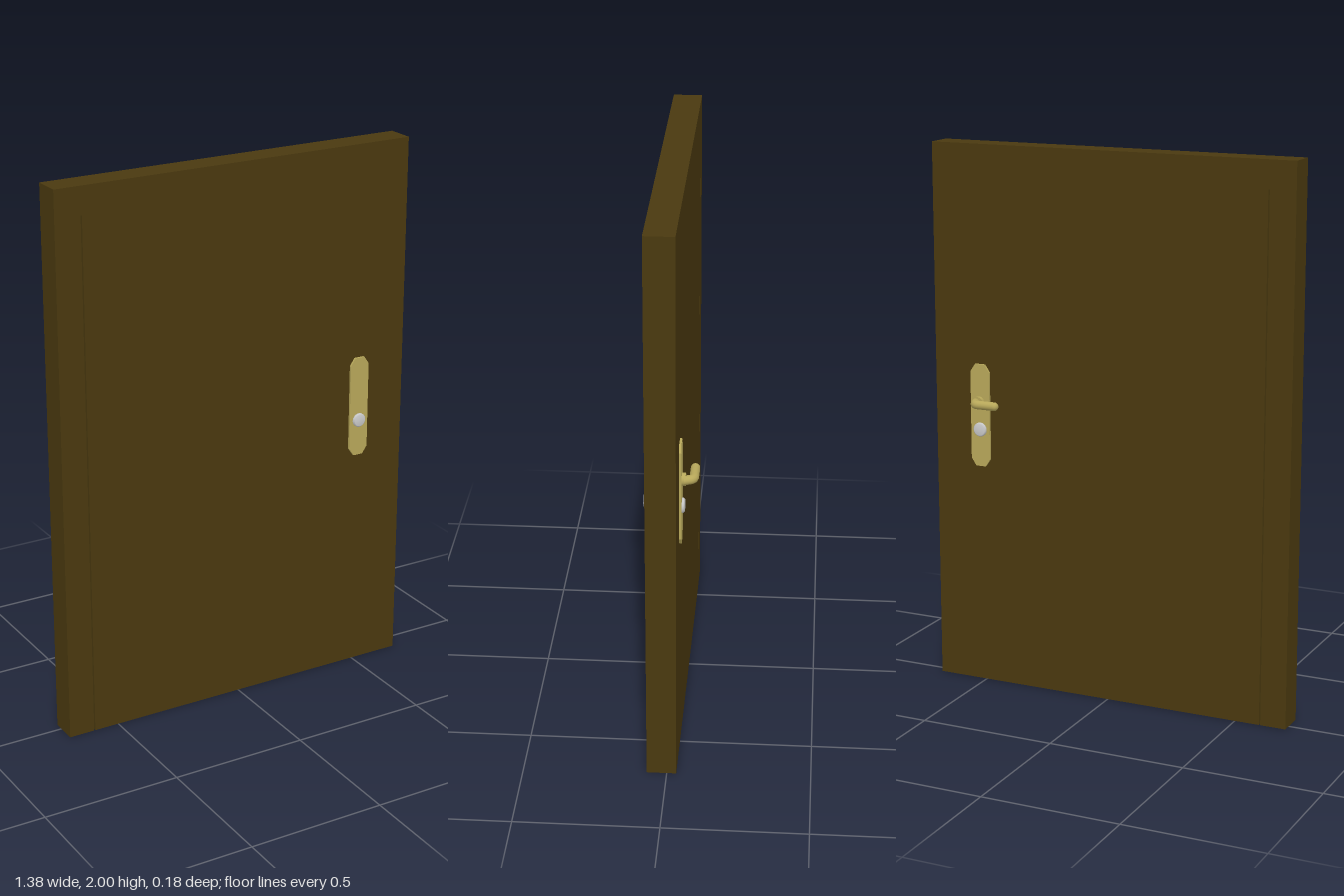
import * as THREE from 'three';

const wood = new THREE.MeshStandardMaterial({ color: 0x4a390f });
const brass = new THREE.MeshStandardMaterial({ color: 0xb8a85a });
const steel = new THREE.MeshStandardMaterial({ color: 0xcccccc });

const BACK = -0.033, FRONT = 0.07;

function add(parent, name, geometry, material, x = 0, y = 0, z = 0) {
  const mesh = new THREE.Mesh(geometry, material);
  mesh.name = name;
  mesh.position.set(x, y, z);
  parent.add(mesh);
  return mesh;
}

// Wooden board given by its extents in x and y
function board(parent, name, x0, x1, y0, y1) {
  add(parent, name, new THREE.BoxGeometry(x1 - x0, y1 - y0, FRONT - BACK), wood,
    (x0 + x1) / 2, (y0 + y1) / 2, (FRONT + BACK) / 2);
}

// Chamfered plate with a round lock, facing +z from its own origin
function lockPlate(name, height, lockY) {
  const group = new THREE.Group();
  group.name = name;
  const w = 0.038, h = height / 2, cx = 0.019, cy = 0.028;
  const outline = [[w, -h + cy], [w, h - cy], [w - cx, h], [cx - w, h],
    [-w, h - cy], [-w, -h + cy], [cx - w, -h], [w - cx, -h]];
  const shape = new THREE.Shape(outline.map(([x, y]) => new THREE.Vector2(x, y)));
  add(group, 'plate', new THREE.ExtrudeGeometry(shape, { depth: 0.008, bevelEnabled: false }), brass);
  const profile = [[0, 0], [0.026, 0], [0.026, 0.013], [0.021, 0.018], [0, 0.018]];
  const lock = new THREE.LatheGeometry(profile.map(([x, y]) => new THREE.Vector2(x, y)), 16);
  add(group, 'lockCylinder', lock, steel, 0, lockY, 0).rotation.x = Math.PI / 2;
  return group;
}

export function createModel() {
  const model = new THREE.Group();
  model.name = 'door';

  // Leaf, with a narrow gap beside the hinge post
  board(model, 'hingePost', -0.692, -0.597, 0, 1.9);
  board(model, 'topRail', -0.692, 0.692, 1.9, 2);
  board(model, 'leaf', -0.592, 0.692, 0, 1.9);

  const front = lockPlate('frontLockPlate', 0.376, -0.052);
  front.position.set(0.503, 1.027, FRONT);
  model.add(front);

  const back = lockPlate('backLockPlate', 0.38, -0.052);
  back.position.set(0.508, 1.016, BACK);
  back.rotation.y = Math.PI;
  model.add(back);

  // Lever handle on the back: collar, bent neck and rounded grip
  const handle = new THREE.Group();
  handle.name = 'leverHandle';
  handle.position.set(0.512, 1.065, 0);
  model.add(handle);
  add(handle, 'collar', new THREE.CylinderGeometry(0.022, 0.022, 0.014, 20), brass, 0, 0, -0.047)
    .rotation.x = Math.PI / 2;
  const path = new THREE.CurvePath();
  const v = (x, z) => new THREE.Vector3(x, 0, z);
  path.add(new THREE.LineCurve3(v(0.01, -0.045), v(0.002, -0.068)));
  path.add(new THREE.QuadraticBezierCurve3(v(0.002, -0.068), v(-0.003, -0.081), v(-0.02, -0.081)));
  path.add(new THREE.LineCurve3(v(-0.02, -0.081), v(-0.083, -0.081)));
  add(handle, 'lever', new THREE.TubeGeometry(path, 24, 0.016, 14, false), brass);
  add(handle, 'leverTip', new THREE.SphereGeometry(0.016, 14, 10), brass, -0.083, 0, -0.081);

  return model;
}
